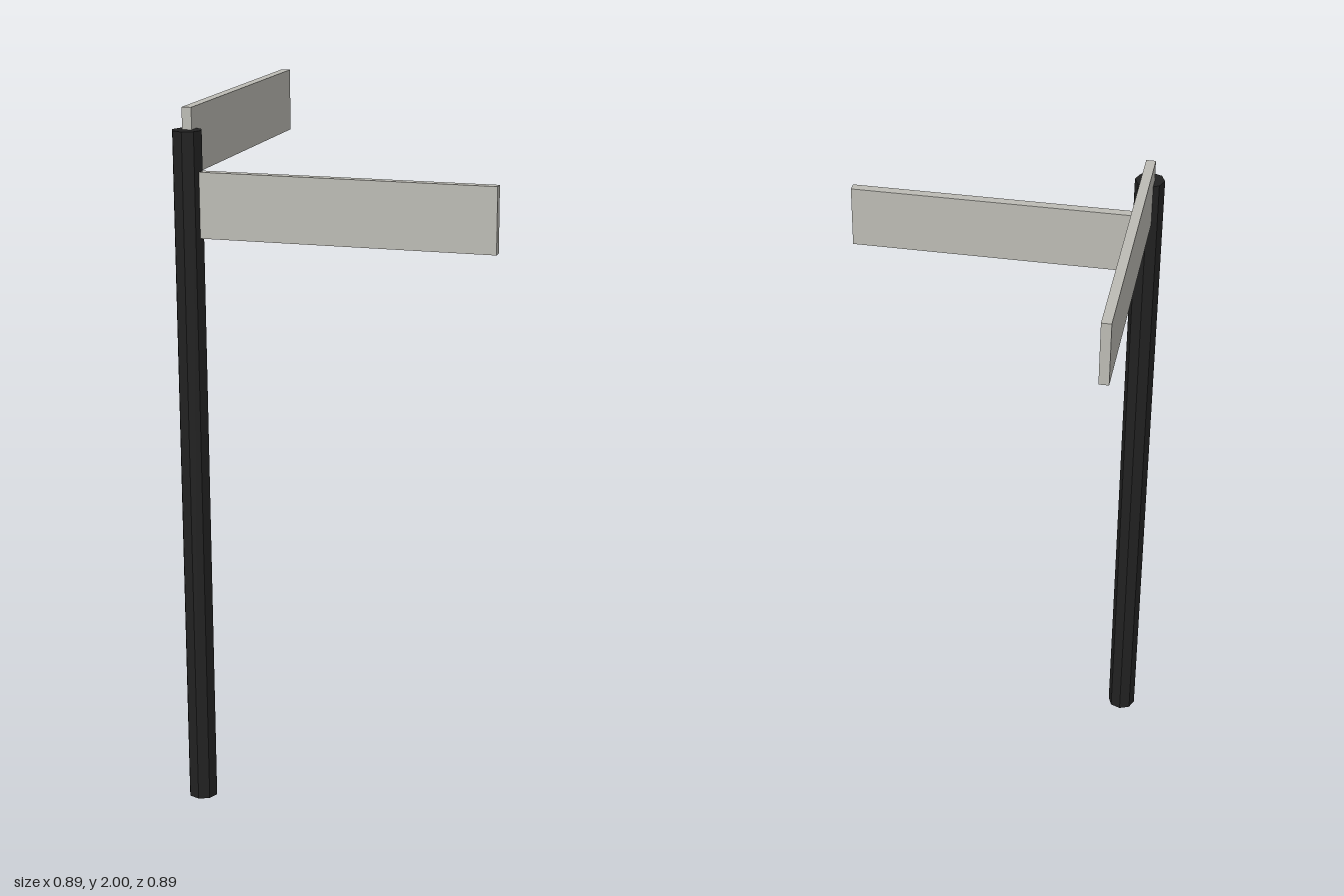
import * as THREE from 'three';

export function createModel() {
  const group = new THREE.Group();
  group.name = 'signpost';

  const poleBlack = new THREE.MeshStandardMaterial({ color: 0x212121, flatShading: true });
  poleBlack.name = 'poleBlack';
  const signGrey = new THREE.MeshStandardMaterial({ color: 0xbcbbb4, flatShading: true });
  signGrey.name = 'signGrey';

  const poleX = -0.405, poleZ = 0.405, poleHeight = 1.94;
  const length = 0.852, height = 0.18, thickness = 0.027;

  // Octagonal pole
  const pole = new THREE.Mesh(new THREE.CylinderGeometry(0.042, 0.042, poleHeight, 8), poleBlack);
  pole.name = 'pole';
  pole.position.set(poleX, poleHeight / 2, poleZ);
  group.add(pole);

  // Sign blades, each starting at the pole axis and running outwards
  const addSign = (name, centreY, turn) => {
    const geometry = new THREE.BoxGeometry(length, height, thickness);
    geometry.translate(length / 2, 0, 0);
    const sign = new THREE.Mesh(geometry, signGrey);
    sign.name = name;
    sign.position.set(poleX, centreY, poleZ);
    sign.rotation.y = turn;
    group.add(sign);
  };
  addSign('lowerSign', 1.74, 0); // points to +x
  addSign('upperSign', 1.91, Math.PI / 2); // points to -z

  return group;
}
